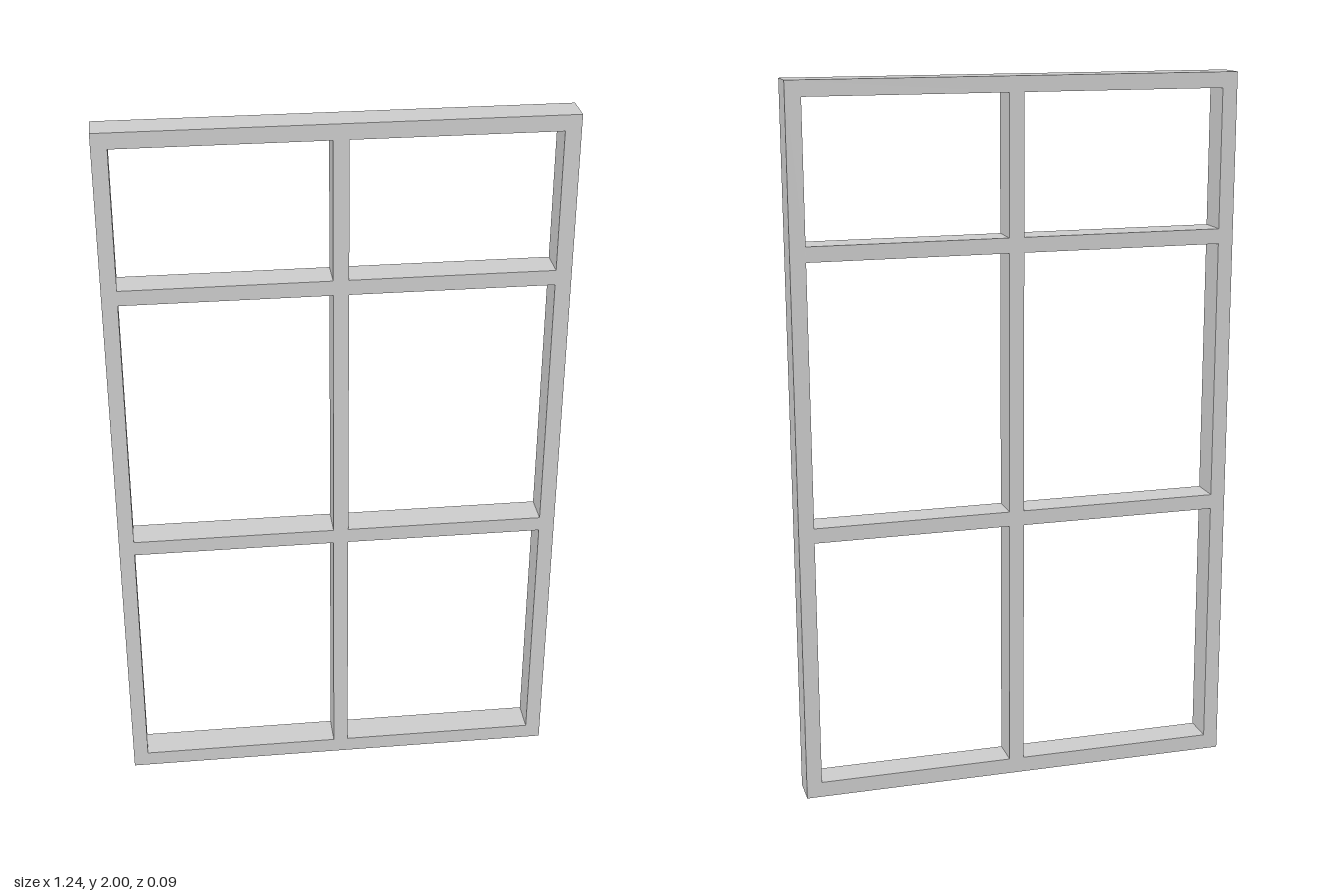
import * as THREE from 'three';

export function createModel() {
  const group = new THREE.Group();
  group.name = 'windowFrame';
  const W = 0.622, H = 2, D = 0.09;

  const rect = (path, x0, y0, x1, y1) => {
    path.moveTo(x0, y0);
    path.lineTo(x1, y0);
    path.lineTo(x1, y1);
    path.lineTo(x0, y1);
    path.closePath();
    return path;
  };

  // Openings: two columns by three rows; the mullion sits slightly off centre
  const columns = [[-0.58, -0.016], [0.026, 0.579]];
  const rows = [[0.044, 0.756], [0.798, 1.529], [1.571, 1.957]];

  // One-piece frame with mullion and transoms
  const outline = rect(new THREE.Shape(), -W, 0, W, H);
  for (const [x0, x1] of columns)
    for (const [y0, y1] of rows)
      outline.holes.push(rect(new THREE.Path(), x0, y0, x1, y1));

  const geometry = new THREE.ExtrudeGeometry(outline, { depth: D, bevelEnabled: false });
  geometry.translate(0, 0, -D / 2);
  const frame = new THREE.Mesh(geometry, new THREE.MeshStandardMaterial({ color: 0xcccccc }));
  frame.name = 'frameAndGlazingBars';
  group.add(frame);
  return group;
}
